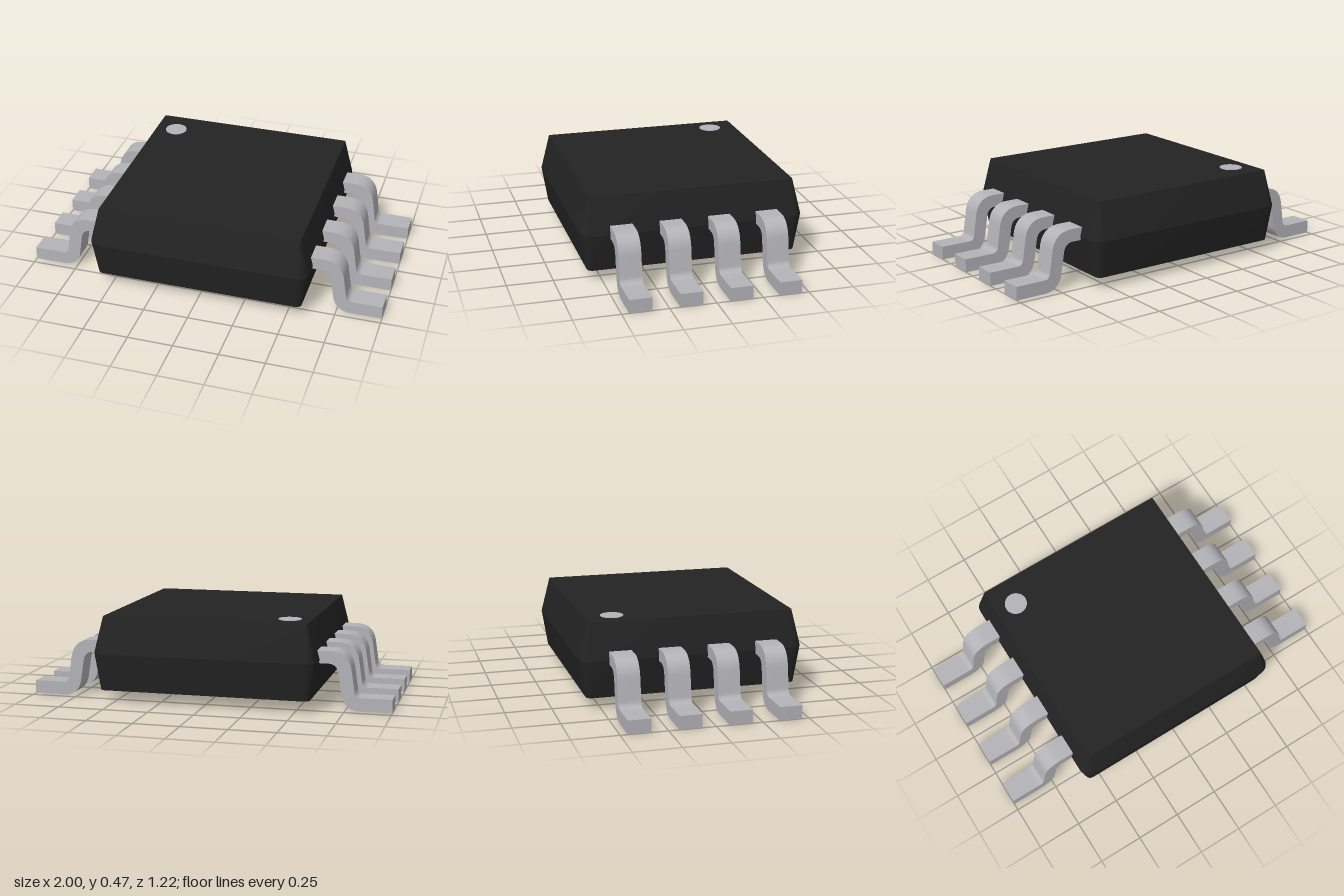
import * as THREE from 'three';
import { toCreasedNormals } from 'three/addons/utils/BufferGeometryUtils.js';

const plastic = new THREE.MeshStandardMaterial({ name: 'black plastic', color: 0x232323 });
const metal = new THREE.MeshStandardMaterial({ name: 'tinned metal', color: 0xb3b3b8 });

// Corner-rounded square ring at height y, counter-clockwise seen from above
function ring(y, half, radius, steps = 6) {
  const points = [];
  for (let c = 0; c < 4; c++) {
    const mid = Math.PI / 4 + c * Math.PI / 2;
    const cx = Math.sign(Math.cos(mid)) * (half - radius);
    const cz = Math.sign(Math.sin(mid)) * (half - radius);
    for (let i = 0; i <= steps; i++) {
      const a = (c + i / steps) * Math.PI / 2;
      points.push([cx + radius * Math.cos(a), y, -(cz + radius * Math.sin(a))]);
    }
  }
  return points;
}

// Closed solid through stacked rings, bottom to top
function loft(rings) {
  const n = rings[0].length;
  const positions = rings.flat(2);
  const index = [];
  for (let r = 0; r < rings.length - 1; r++) {
    for (let i = 0; i < n; i++) {
      const j = (i + 1) % n;
      const a = r * n + i, b = r * n + j, c = a + n, d = b + n;
      index.push(a, b, d, a, d, c);
    }
  }
  const top = (rings.length - 1) * n;
  for (let i = 1; i < n - 1; i++) {
    index.push(0, i + 1, i);
    index.push(top, top + i, top + i + 1);
  }
  const geometry = new THREE.BufferGeometry();
  geometry.setAttribute('position', new THREE.Float32BufferAttribute(positions, 3));
  geometry.setIndex(index);
  return toCreasedNormals(geometry, 0.35);
}

// Gull-wing lead profile, extruded across its width
function leadGeometry(width) {
  const s = new THREE.Shape();
  s.moveTo(0.58, 0.25);
  s.lineTo(0.655, 0.25);
  s.bezierCurveTo(0.69, 0.25, 0.708, 0.23, 0.712, 0.2);
  s.lineTo(0.73, 0.085);
  s.bezierCurveTo(0.74, 0.03, 0.78, 0, 0.83, 0);
  s.lineTo(1, 0);
  s.lineTo(1, 0.073);
  s.lineTo(0.835, 0.073);
  s.bezierCurveTo(0.812, 0.073, 0.802, 0.085, 0.799, 0.105);
  s.lineTo(0.782, 0.22);
  s.bezierCurveTo(0.772, 0.285, 0.73, 0.318, 0.67, 0.318);
  s.lineTo(0.58, 0.318);
  s.closePath();
  const geometry = new THREE.ExtrudeGeometry(s, { depth: width, bevelEnabled: false, curveSegments: 10 });
  geometry.translate(0, 0, -width / 2);
  return toCreasedNormals(geometry, 0.6);
}

export function createModel() {
  const model = new THREE.Group();
  model.name = 'chipPackage';

  // Moulded body, widest at the parting line
  const body = new THREE.Mesh(loft([
    ring(0.065, 0.578, 0.03),
    ring(0.27, 0.611, 0.06),
    ring(0.47, 0.56, 0.008),
  ]), plastic);
  body.name = 'body';
  model.add(body);

  // Orientation dot on the top face
  const dot = new THREE.Mesh(new THREE.CylinderGeometry(0.062, 0.062, 0.006, 40), metal);
  dot.name = 'pinOneDot';
  dot.position.set(-0.44, 0.47, -0.408);
  model.add(dot);

  // Four leads on each side
  const geometry = leadGeometry(0.121);
  for (const side of ['left', 'right']) {
    const row = new THREE.Group();
    row.name = side + 'Leads';
    for (let i = 0; i < 4; i++) {
      const lead = new THREE.Mesh(geometry, metal);
      lead.name = side + 'Lead' + (i + 1);
      lead.position.z = (i - 1.5) * 0.267;
      row.add(lead);
    }
    if (side === 'right') row.rotation.y = Math.PI;
    model.add(row);
  }
  return model;
}
